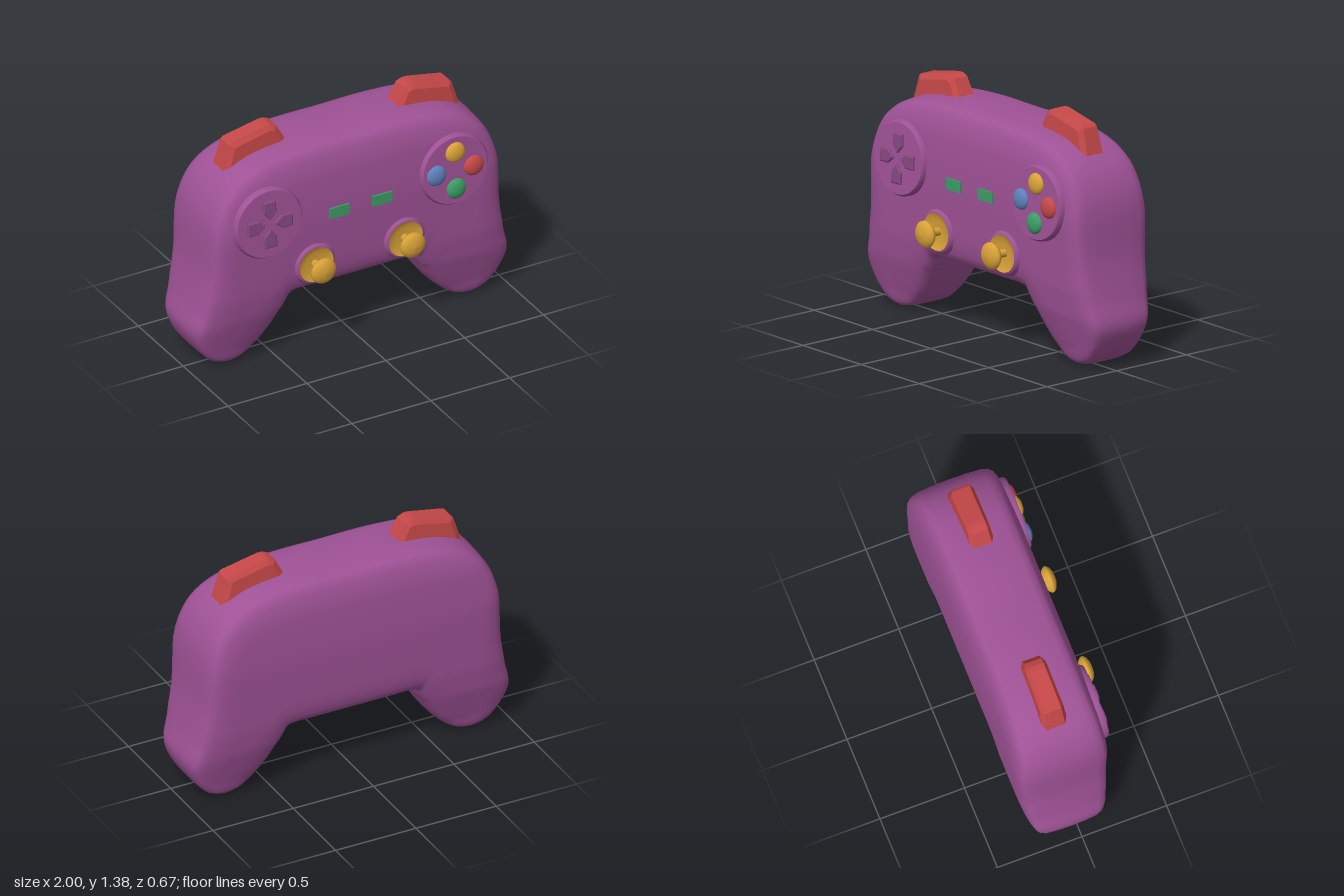
import * as THREE from 'three';

const mat = (color, extra = {}) => new THREE.MeshStandardMaterial({ color, ...extra });
const PURPLE = 0x9f5296, GOLD = 0xd9a238, RED = 0xc64848, GREEN = 0x3c9d66, BLUE = 0x5d80bb;
const MID_Z = -0.055;

function add(parent, name, geometry, material, x = 0, y = 0, z = 0) {
  const mesh = new THREE.Mesh(geometry, material);
  mesh.name = name;
  mesh.position.set(x, y, z);
  parent.add(mesh);
  return mesh;
}

// Half depth of the body at a given height
const DEPTHS = [[0, 0.16], [0.1, 0.18], [0.3, 0.235], [0.45, 0.256], [0.85, 0.272], [1.1, 0.26], [1.28, 0.236]];
function halfDepth(y) {
  for (let i = 1; i < DEPTHS.length; i++) {
    const [y0, d0] = DEPTHS[i - 1], [y1, d1] = DEPTHS[i];
    if (y <= y1) return THREE.MathUtils.lerp(d0, d1, Math.max(0, (y - y0) / (y1 - y0)));
  }
  return DEPTHS[DEPTHS.length - 1][1];
}

// Body: rounded sections lofted from one grip tip, across the middle, to the other
function bodyGeometry() {
  // inner x, inner y, outer x, outer y, depth factor
  const half = [
    [0.18, 0.37, 0.32, 1.276, 1], [0.36, 0.37, 0.6, 1.243, 1], [0.4, 0.36, 0.75, 1.176, 1],
    [0.425, 0.315, 0.84, 1.08, 1], [0.44, 0.285, 0.9, 0.93, 1], [0.455, 0.26, 0.928, 0.61, 1],
    [0.5, 0.18, 0.965, 0.4, 1], [0.56, 0.1, 0.998, 0.25, 1], [0.647, 0.03, 0.957, 0.135, 1],
    [0.7, 0.015, 0.9, 0.062, 0.97], [0.74, 0.006, 0.85, 0.026, 0.85], [0.79, 0.002, 0.8, 0.002, 0.03],
  ];
  const mirrored = half.map(([a, b, c, d, e]) => [-a, b, -c, d, e]).reverse();
  const stations = [...mirrored, [0, 0.37, 0, 1.277, 1], ...half];
  const inner = new THREE.CatmullRomCurve3(stations.map(s => new THREE.Vector3(s[0], s[1], s[4])));
  const outer = new THREE.CatmullRomCurve3(stations.map(s => new THREE.Vector3(s[2], s[3], s[4])));

  // edge rounding: inset from the outline, share of the half depth
  const edge = [[0.003, 0.4], [0.01, 0.7], [0.024, 0.84], [0.045, 0.91], [0.08, 0.955], [0.13, 0.985], [0.19, 1]];
  const section = [];
  for (const side of [1, -1]) {
    const rise = [{ end: 0, inset: 0, f: 0 }, ...edge.map(([inset, f]) => ({ end: 0, inset, f }))];
    const flat = [0.2, 0.4, 0.6, 0.8].map(t => ({ t, f: 1 }));
    const fall = [...edge].reverse().map(([inset, f]) => ({ end: 1, inset, f }));
    const run = [...rise, ...flat, ...fall, { end: 1, inset: 0, f: 0 }];
    if (side < 0) run.reverse();
    section.push(...run.slice(0, -1).map(p => ({ ...p, f: p.f * side })));
  }

  const N = 144, M = section.length, pos = [], index = [];
  for (let i = 0; i <= N; i++) {
    const a = inner.getPoint(i / N), b = outer.getPoint(i / N);
    const chord = Math.hypot(b.x - a.x, b.y - a.y);
    const shrink = Math.min(1, chord / 0.42) / chord;
    for (const p of section) {
      let t;
      if (p.t !== undefined) t = THREE.MathUtils.lerp(0.19 * shrink, 1 - 0.19 * shrink, p.t);
      else t = p.end ? 1 - p.inset * shrink : p.inset * shrink;
      const x = a.x + (b.x - a.x) * t, y = Math.max(0, a.y + (b.y - a.y) * t);
      pos.push(x, y, MID_Z + p.f * Math.min(1, a.z) * halfDepth(y));
    }
  }
  for (let i = 0; i < N; i++) for (let j = 0; j < M; j++) {
    const k = (j + 1) % M, a = i * M + j, b = a + M, c = i * M + k, d = c + M;
    index.push(a, b, d, a, d, c);
  }
  const g = new THREE.BufferGeometry();
  g.setAttribute('position', new THREE.Float32BufferAttribute(pos, 3));
  g.setIndex(index);
  g.computeVertexNormals();
  return g;
}

// Profile turned round the z axis, given as [radius, z]
function turned(points, segments = 40) {
  return new THREE.LatheGeometry(points.map(p => new THREE.Vector2(...p)), segments).rotateX(Math.PI / 2);
}

// Shoulder button: bevelled wedge that narrows towards its top
function shoulderGeometry(side) {
  const pts = [[0.34, 1.2], [0.72, 1.1], [0.75, 1.17], [0.705, 1.322], [0.69, 1.335], [0.47, 1.38], [0.44, 1.38], [0.405, 1.365], [0.35, 1.262]];
  const shape = new THREE.Shape(pts.map(([x, y]) => new THREE.Vector2(x * side, y)));
  const g = new THREE.ExtrudeGeometry(shape, {
    depth: 0.105, bevelThickness: 0.02, bevelSize: 0.03, bevelOffset: -0.03, bevelSegments: 1,
  });
  g.translate(0, 0, -0.0525);
  const p = g.attributes.position;
  for (let i = 0; i < p.count; i++) {
    p.setZ(i, p.getZ(i) * THREE.MathUtils.mapLinear(p.getY(i), 1.18, 1.38, 1.05, 0.85));
  }
  g.computeVertexNormals();
  return g;
}

// Raised round plate, tipped slightly upward, that carries the buttons
function plate(name, x) {
  const g = new THREE.Group();
  g.name = name;
  g.position.set(x, 0.915, 0.243);
  g.rotation.x = -0.055;
  const base = [[0.216, -0.08], [0.214, -0.018], [0.203, -0.002]];
  add(g, 'plateRim', turned(base, 56), mat(PURPLE));
  add(g, 'plateFace', new THREE.CircleGeometry(0.203, 56), mat(PURPLE), 0, 0, -0.002);
  return g;
}

export function createModel() {
  const model = new THREE.Group();
  model.name = 'gameController';
  add(model, 'body', bodyGeometry(), mat(PURPLE));

  // Direction pad: four keys pointing to the centre
  const pad = plate('directionPad', -0.59);
  const key = new THREE.Shape([[0, 0.03], [0.04, 0.075], [0.04, 0.142], [-0.04, 0.142], [-0.04, 0.075]].map(p => new THREE.Vector2(...p)));
  const keyGeometry = new THREE.ExtrudeGeometry(key, {
    depth: 0.012, bevelThickness: 0.005, bevelSize: 0.006, bevelOffset: -0.006, bevelSegments: 1,
  });
  for (let i = 0; i < 4; i++) {
    add(pad, 'directionKey', keyGeometry, mat(0x854880), 0, 0, -0.004).rotation.z = i * Math.PI / 2;
  }
  model.add(pad);

  // Action buttons
  const actions = plate('actionButtons', 0.59);
  const dome = new THREE.SphereGeometry(0.061, 28, 18).scale(1, 1, 0.5);
  [[0, 0.112, GOLD], [0.114, 0, RED], [0, -0.112, GREEN], [-0.122, 0, BLUE]].forEach(([x, y, c]) =>
    add(actions, 'actionButton', dome, mat(c), x, y, -0.003));
  model.add(actions);

  for (const side of [-1, 1]) {
    const name = side > 0 ? 'left' : 'right';

    // Thumb stick: body-coloured collar, shallow cup, stem and mushroom cap
    const stick = new THREE.Group();
    stick.name = name + 'Stick';
    stick.position.set(side * 0.283, 0.558, 0);
    add(stick, 'collar', turned([[0.135, 0.18], [0.126, 0.212], [0.116, 0.225], [0.107, 0.226]]), mat(PURPLE));
    add(stick, 'cup', turned([[0.108, 0.226], [0.09, 0.217], [0.06, 0.21], [0, 0.208]]),
      mat(GOLD, { side: THREE.DoubleSide }));
    add(stick, 'cap', turned([[0.024, 0.2], [0.022, 0.245], [0.032, 0.262], [0.065, 0.283], [0.077, 0.298],
      [0.076, 0.31], [0.062, 0.324], [0.036, 0.335], [0, 0.339]]), mat(GOLD));
    model.add(stick);

    // Small menu button
    add(model, name + 'MenuButton', new THREE.BoxGeometry(0.122, 0.064, 0.06), mat(GREEN), side * 0.136, 0.855, 0.196);

    // Shoulder button
    add(model, name + 'Shoulder', shoulderGeometry(side), mat(RED, { flatShading: true }), 0, 0, MID_Z);
  }
  return model;
}
